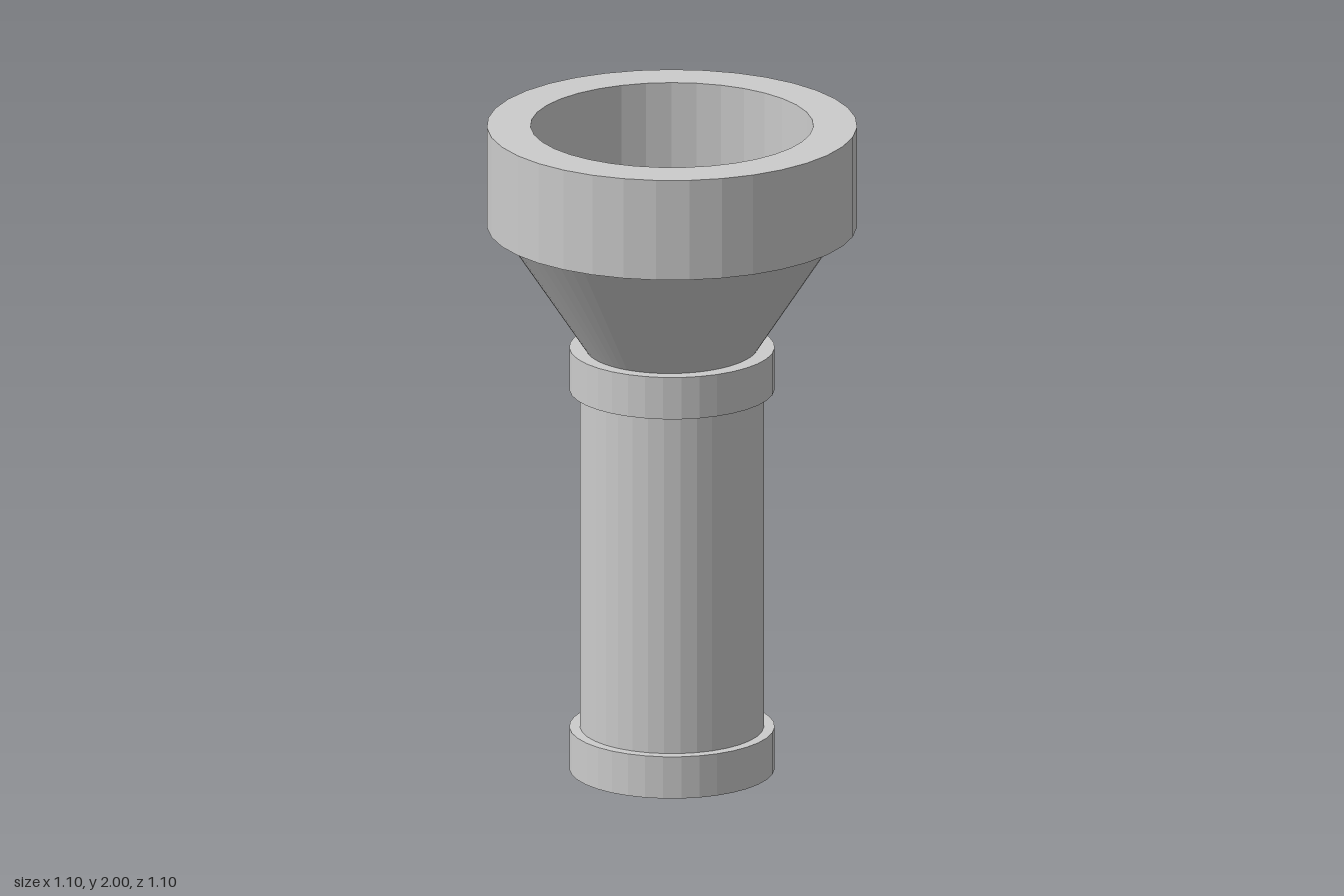
import * as THREE from 'three';

const SIDES = 35;

export function createModel() {
  const group = new THREE.Group();
  const material = new THREE.MeshStandardMaterial({ color: 0xcccccc, flatShading: true });

  const add = (name, geometry) => {
    const mesh = new THREE.Mesh(geometry, material);
    mesh.name = name;
    group.add(mesh);
    return mesh;
  };
  // Upright faceted drum between two heights
  const drum = (name, rTop, rBottom, y0, y1, sides = SIDES) => {
    const g = new THREE.CylinderGeometry(rTop, rBottom, y1 - y0, sides, 1, false, Math.PI);
    g.translate(0, (y0 + y1) / 2, 0);
    return add(name, g);
  };

  // Handle with its end cap and collar
  drum('endCap', 0.305, 0.305, 0, 0.13);
  drum('handle', 0.273, 0.273, 0.13, 1.18);
  drum('collar', 0.305, 0.305, 1.18, 1.31);

  // Flared neck, slightly narrower across x; its top is the floor of the head
  drum('flaredNeck', 0.525, 0.266, 1.31, 1.69, SIDES * 2).scale.x = 0.957;

  // Hollow head ring
  const ring = [[0.42, 1.69], [0.55, 1.69], [0.55, 2], [0.42, 2], [0.42, 1.69]]
    .map(([r, y]) => new THREE.Vector2(r, y));
  add('headRing', new THREE.LatheGeometry(ring, SIDES, Math.PI));

  // Switch plate and push button on the back
  add('switchPlate', new THREE.BoxGeometry(0.13, 0.26, 0.045)).position.set(0, 0.95, -0.2825);
  const button = add('switchButton', new THREE.CylinderGeometry(0.048, 0.048, 0.06, SIDES));
  button.rotation.x = Math.PI / 2;
  button.position.set(0, 0.953, -0.33);

  return group;
}
